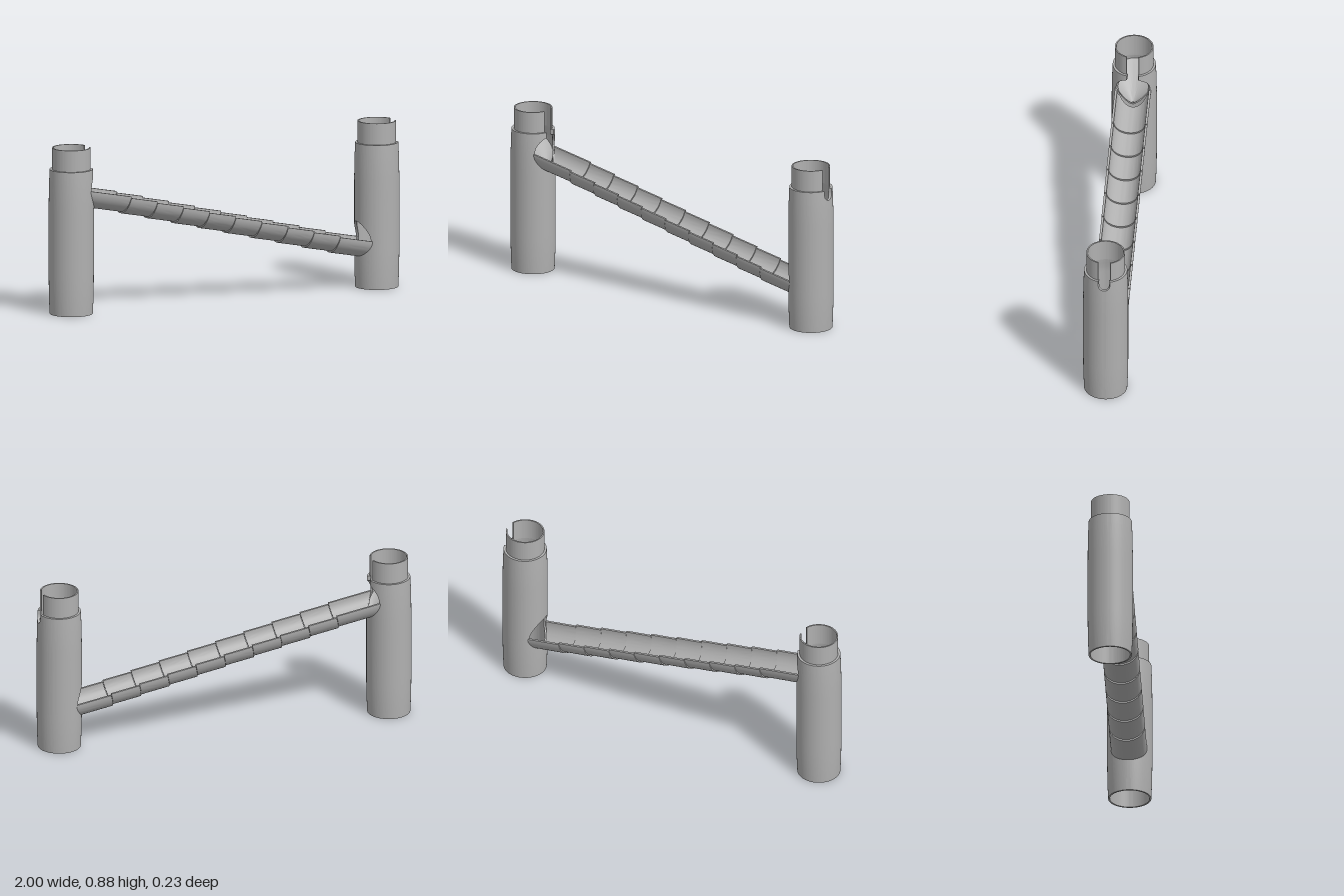
import * as THREE from 'three';
import { toCreasedNormals } from 'three/addons/utils/BufferGeometryUtils.js';

const TOWER_X = 0.883, BORE = 0.088, SLOPE = 0.253;
const COS = 1 / Math.hypot(1, SLOPE), SIN = SLOPE * COS;
const SHOULDER = 0.762, TOP = 0.875, SLOT = 0.032;
const axisY = (x) => 0.455 - SLOPE * x;

const plastic = new THREE.MeshStandardMaterial({ color: 0xb0b0b0 });
plastic.name = 'grey plastic';

// Thick sheet between two point grids, closed along all four edges
function shell(name, n, m, outer, inner) {
  const pos = [];
  const quad = (a, b, c, d) => [a, b, c, a, c, d].forEach((p) => pos.push(...p));
  const grid = (f) => Array.from({ length: n + 1 }, (_, i) =>
    Array.from({ length: m + 1 }, (_, j) => f(i / n, j / m)));
  const A = grid(outer), B = grid(inner);
  for (let i = 0; i < n; i++) {
    for (let j = 0; j < m; j++) {
      quad(A[i][j], A[i][j + 1], A[i + 1][j + 1], A[i + 1][j]);
      quad(B[i][j], B[i + 1][j], B[i + 1][j + 1], B[i][j + 1]);
    }
    quad(A[i][0], A[i + 1][0], B[i + 1][0], B[i][0]);
    quad(A[i][m], B[i][m], B[i + 1][m], A[i + 1][m]);
  }
  for (let j = 0; j < m; j++) {
    quad(A[0][j], B[0][j], B[0][j + 1], A[0][j + 1]);
    quad(A[n][j], A[n][j + 1], B[n][j + 1], B[n][j]);
  }
  const geo = new THREE.BufferGeometry();
  geo.setAttribute('position', new THREE.Float32BufferAttribute(pos, 3));
  const mesh = new THREE.Mesh(toCreasedNormals(geo, 0.5), plastic);
  mesh.name = name;
  return mesh;
}

// Tower wall profiles: gently barrelled outside, drawn in at the top inside
const bodyOuter = (y) => 0.117 - 0.005 * (Math.max(0, 0.2 - y, y - 0.562) / 0.2) ** 2;
const bodyInner = (y) => 0.103 - 0.01 * THREE.MathUtils.clamp((y - 0.7) / 0.05, 0, 1);

// Curved wall panel between two angles, with edge heights that vary by angle
function wall(name, cx, a0, a1, n, low, high, rOut, rIn) {
  const at = (r) => (u, v) => {
    const a = a0 + (a1 - a0) * u;
    const y = low(a) + (high(a) - low(a)) * v;
    return [cx + r(y) * Math.cos(a), y, r(y) * Math.sin(a)];
  };
  return shell(name, n, 14, at(rOut), at(rIn));
}

function tower(name, cx) {
  const g = new THREE.Group();
  g.name = name;
  const side = -Math.sign(cx);
  // Round opening where the track meets the wall
  const middle = (a) => axisY(cx + 0.115 * Math.cos(a));
  const gap = (a) => {
    const z = 0.115 * Math.sin(a);
    return Math.cos(a) * side > 0 ? Math.sqrt(Math.max(0, BORE * BORE - z * z)) / COS : 0;
  };
  const low = (a) => middle(a) - gap(a);
  const high = (a) => middle(a) + gap(a);
  const e = Math.asin(SLOT / 0.115), c = Math.asin(SLOT / 0.1), full = Math.PI * 2;

  g.add(wall('lowerWall', cx, 0, full, 144, () => 0, low, bodyOuter, bodyInner));
  g.add(wall('upperWall', cx, e, full - e, 144, high, () => SHOULDER, bodyOuter, bodyInner));
  // Wall under the rounded slot, absent where the track opening replaces it
  if (side < 0) {
    const slotBottom = (a) =>
      0.739 - Math.sqrt(Math.max(0, SLOT ** 2 - (0.115 * Math.sin(a)) ** 2));
    g.add(wall('slotWall', cx, -e, e, 20, high, slotBottom, bodyOuter, bodyInner));
  }
  // Narrow connecting collar with a slot on its left
  g.add(wall('collar', cx, c, full - c, 96, () => SHOULDER - 0.004, () => TOP, () => 0.1, () => 0.093));
  return g;
}

// Sloping floor that guides into the track
function funnel(cx) {
  const at = (drop) => (u, v) => {
    const a = u * Math.PI * 2, k = 1 - 0.97 * v, px = 0.09;
    const dx = (0.104 * Math.cos(a) - px) * k, z = 0.104 * Math.sin(a) * k;
    return [cx + px + dx, 0.575 + 0.8 * Math.hypot(dx, z) - drop, z];
  };
  return shell('funnelFloor', 64, 6, at(0), at(0.01));
}

// Half-pipe track in ten sections, each with a small drop to the next
function track() {
  const g = new THREE.Group();
  g.name = 'track';
  const count = 10, pitch = 0.151, first = -0.58;
  for (let k = 0; k < count; k++) {
    const at = (r) => (u, v) => {
      const phi = -Math.PI * v, z = r * Math.cos(phi), depth = r * Math.sin(phi);
      const end = TOWER_X - Math.sqrt(0.112 ** 2 - z * z);
      const cut = first + k * pitch + depth * SIN;
      const x0 = k === 0 ? -end : cut - pitch;
      const x1 = k === count - 1 ? end : cut;
      const x = x0 + (x1 - x0) * u;
      const step = 0.008 * ((x - cut) / pitch + 0.5);
      return [x, axisY(x) + (depth + step) / COS, z];
    };
    g.add(shell('trackSection', 4, 32, at(0.094), at(0.082)));
  }
  return g;
}

export function createModel() {
  const model = new THREE.Group();
  model.name = 'marbleTrack';
  model.add(tower('rightTower', -TOWER_X), tower('leftTower', TOWER_X));
  model.add(funnel(-TOWER_X), track());
  return model;
}
